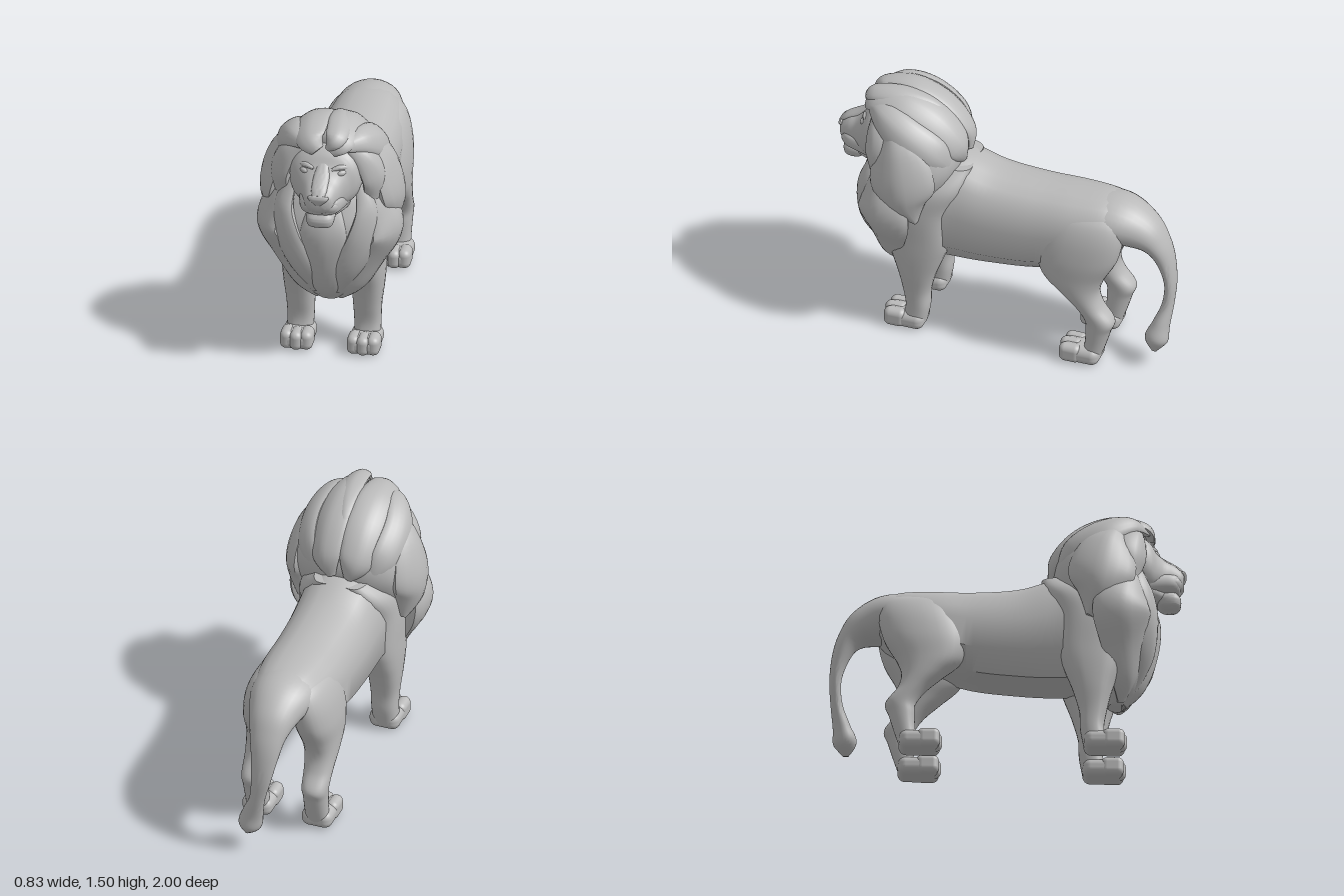
import * as THREE from 'three';
import { toCreasedNormals } from 'three/addons/utils/BufferGeometryUtils.js';
import { RoundedBoxGeometry } from 'three/addons/geometries/RoundedBoxGeometry.js';

const V = (x, y, z) => new THREE.Vector3(x, y, z);
const stone = new THREE.MeshStandardMaterial({ color: 0xbababa });
stone.name = 'stone grey';

// Smoothly resample a short table of section rows.
function resample(rows, steps = 6) {
  const out = [];
  const at = (i) => rows[Math.min(rows.length - 1, Math.max(0, i))];
  for (let i = 0; i < rows.length - 1; i++) {
    for (let s = 0; s < steps; s++) {
      const t = s / steps;
      out.push(rows[i].map((b, k) => {
        const a = at(i - 1)[k], c = at(i + 1)[k], d = at(i + 2)[k];
        return 0.5 * (2 * b + (c - a) * t + (2 * a - 5 * b + 4 * c - d) * t * t
          + (3 * b - a - 3 * c + d) * t * t * t);
      }));
    }
  }
  out.push(rows[rows.length - 1]);
  return out;
}

// Unit superellipse outline.
function outline(n, count = 28) {
  const p = (v) => Math.sign(v) * Math.pow(Math.abs(v), 2 / n);
  return Array.from({ length: count }, (_, i) => {
    const a = (i / count) * Math.PI * 2;
    return [p(Math.cos(a)), p(Math.sin(a))];
  });
}

// Closed skin over a list of rings, turned outward by its signed volume.
function skin(rings, crease = 0.75) {
  const n = rings[0].length, pts = rings.flat(), idx = [];
  for (let r = 0; r < rings.length - 1; r++) {
    for (let i = 0; i < n; i++) {
      const a = r * n + i, b = r * n + (i + 1) % n;
      idx.push(a, b, a + n, b, b + n, a + n);
    }
  }
  const mid = (ring) => ring.reduce((s, p) => s.add(p), V(0, 0, 0)).divideScalar(n);
  const first = pts.length, last = first + 1, end = (rings.length - 1) * n;
  pts.push(mid(rings[0]), mid(rings[rings.length - 1]));
  for (let i = 0; i < n; i++) {
    const j = (i + 1) % n;
    idx.push(first, j, i, last, end + i, end + j);
  }
  let volume = 0;
  for (let i = 0; i < idx.length; i += 3) {
    volume += pts[idx[i]].dot(pts[idx[i + 1]].clone().cross(pts[idx[i + 2]]));
  }
  if (volume < 0) idx.reverse();
  const g = new THREE.BufferGeometry().setFromPoints(pts);
  g.setIndex(idx);
  return toCreasedNormals(g, crease);
}

// Rows: [z, top, bottom, half width]
const loftZ = (rows, shape) => skin(resample(rows).map(([z, t, b, w]) =>
  shape.map(([u, v]) => V(u * w, (t + b) / 2 + v * (t - b) / 2, z))));

// Rows: [y, inner x, outer x, back z, front z]
const loftY = (rows, shape) => skin(resample(rows).map(([y, x0, x1, z0, z1]) =>
  shape.map(([u, v]) => V((x0 + x1) / 2 + u * (x1 - x0) / 2, y, (z0 + z1) / 2 + v * (z1 - z0) / 2))));

// Rows: [x, y, z, half width, half thickness]; thickness lies along the facing direction.
function sweep(rows, shape, facing) {
  const r = resample(rows), c = r.map(([x, y, z]) => V(x, y, z));
  return skin(r.map((row, i) => {
    const t = c[Math.min(i + 1, c.length - 1)].clone().sub(c[Math.max(i - 1, 0)]).normalize();
    const n = facing(c[i]);
    n.addScaledVector(t, -n.dot(t)).normalize();
    const b = t.clone().cross(n);
    return shape.map(([u, v]) => c[i].clone().addScaledVector(b, u * row[3]).addScaledVector(n, v * row[4]));
  }));
}

export function createModel() {
  const model = new THREE.Group();
  model.name = 'lion';
  const add = (name, geometry) => {
    const m = new THREE.Mesh(geometry, stone);
    m.name = name;
    model.add(m);
  };
  // Mirror a geometry to the other side by negating x and flipping the winding.
  const pair = (name, geometry) => {
    add('left' + name, geometry);
    const g = geometry.clone(), p = g.attributes.position, nm = g.attributes.normal;
    for (const a of [p, nm]) for (let i = 0; i < a.count; i++) a.setX(i, -a.getX(i));
    const ids = g.index ? Array.from(g.index.array) : Array.from({ length: p.count }, (_, i) => i);
    g.setIndex(ids.reverse());
    add('right' + name, g);
  };
  const round = outline(2), soft = outline(2.6), lens = outline(1.55, 20);

  // Torso with flat flanks and a bevelled belly
  const half = [[0, 1], [0.3, 0.98], [0.58, 0.88], [0.8, 0.68], [0.94, 0.4], [1, 0.1], [0.98, -0.55], [0.55, -0.97], [0, -1]];
  const barrel = [...half, ...half.slice(1, -1).reverse().map(([x, y]) => [-x, y])];
  add('torso', loftZ([
    [0.62, 1.08, 0.5, 0.2], [0.45, 1.13, 0.48, 0.26], [0.25, 1.11, 0.47, 0.25], [0.05, 1.05, 0.48, 0.245],
    [-0.2, 1.03, 0.51, 0.24], [-0.42, 1.03, 0.58, 0.235], [-0.6, 1.025, 0.66, 0.205], [-0.72, 0.99, 0.76, 0.15]], barrel));

  // Tail growing out of the rump and ending in a tuft
  add('tail', sweep([
    [0, 0.87, -0.46, 0.14, 0.2], [0, 0.885, -0.66, 0.14, 0.185], [0, 0.84, -0.8, 0.11, 0.14], [0, 0.765, -0.885, 0.07, 0.105],
    [0, 0.66, -0.935, 0.05, 0.08], [0.01, 0.52, -0.965, 0.034, 0.058], [0.035, 0.38, -0.958, 0.034, 0.045],
    [0.07, 0.26, -0.93, 0.05, 0.06], [0.095, 0.17, -0.91, 0.066, 0.066], [0.115, 0.1, -0.905, 0.015, 0.015]],
  round, () => V(1, 0, 0)));

  // Legs
  pair('FrontLeg', loftY([
    [0.03, 0.12, 0.265, 0.42, 0.56], [0.14, 0.115, 0.265, 0.4, 0.535], [0.25, 0.11, 0.27, 0.395, 0.55],
    [0.38, 0.1, 0.285, 0.36, 0.58], [0.5, 0.085, 0.293, 0.315, 0.62], [0.62, 0.05, 0.295, 0.28, 0.65],
    [0.82, 0.03, 0.295, 0.275, 0.66], [0.98, 0.02, 0.265, 0.21, 0.6], [1.09, 0.01, 0.16, 0.185, 0.5]], soft));
  pair('HindLeg', loftY([
    [0.03, 0.11, 0.245, -0.61, -0.5], [0.12, 0.11, 0.245, -0.64, -0.52], [0.22, 0.11, 0.25, -0.67, -0.525],
    [0.29, 0.105, 0.255, -0.69, -0.52], [0.38, 0.095, 0.26, -0.625, -0.46], [0.47, 0.08, 0.268, -0.6, -0.36],
    [0.56, 0.06, 0.272, -0.625, -0.26], [0.69, 0.04, 0.272, -0.695, -0.225], [0.83, 0.02, 0.25, -0.725, -0.25],
    [0.93, 0.01, 0.205, -0.71, -0.3], [0.99, 0.01, 0.13, -0.66, -0.38]], outline(2.3)));

  // Paws: a rounded foot with three shallow toes
  for (const [name, x, z] of [['Front', 0.19, 0.53], ['Hind', 0.178, -0.505]]) {
    pair(name + 'Paw', new RoundedBoxGeometry(0.178, 0.106, 0.23, 5, 0.045).translate(x, 0.053, z + 0.005));
    [-1, 0, 1].forEach((k) => pair(name + 'Toe' + (k + 2),
      new RoundedBoxGeometry(0.074, 0.112, 0.13, 5, 0.036).translate(x + k * 0.056, 0.058, z + 0.068 - Math.abs(k) * 0.012)));
  }

  // Mane core
  add('maneCore', loftY([
    [0.36, -0.06, 0.06, 0.56, 0.66], [0.45, -0.16, 0.16, 0.5, 0.73], [0.6, -0.26, 0.26, 0.45, 0.79],
    [0.75, -0.34, 0.34, 0.42, 0.82], [0.88, -0.36, 0.36, 0.36, 0.82], [1.0, -0.35, 0.35, 0.28, 0.77],
    [1.1, -0.34, 0.34, 0.25, 0.71], [1.2, -0.32, 0.32, 0.26, 0.7], [1.3, -0.295, 0.295, 0.32, 0.71],
    [1.39, -0.24, 0.24, 0.41, 0.73], [1.45, -0.15, 0.15, 0.5, 0.72], [1.47, -0.05, 0.05, 0.56, 0.66]], outline(2.3)));

  // Mane locks, each facing away from the middle of the neck
  const away = (p) => V(p.x, Math.max(0, p.y - 1.15), p.z - 0.54);
  const lock = (rows) => sweep(rows, lens, away);
  add('chestBib', lock([[0, 1.03, 0.76, 0.08, 0.03], [0, 0.86, 0.815, 0.13, 0.04], [0, 0.66, 0.79, 0.11, 0.045],
    [0, 0.48, 0.72, 0.09, 0.045], [0, 0.365, 0.63, 0.05, 0.02]]));
  pair('ChestLock', lock([[0.19, 1.14, 0.72, 0.03, 0.02], [0.24, 0.98, 0.735, 0.09, 0.05], [0.21, 0.8, 0.76, 0.11, 0.06],
    [0.13, 0.62, 0.76, 0.09, 0.05], [0.06, 0.44, 0.7, 0.03, 0.02]]));
  pair('LowerLock', lock([[0.25, 1.14, 0.66, 0.05, 0.02], [0.295, 0.98, 0.65, 0.12, 0.06], [0.325, 0.82, 0.63, 0.17, 0.085],
    [0.25, 0.65, 0.64, 0.14, 0.065], [0.15, 0.48, 0.65, 0.1, 0.05], [0.06, 0.37, 0.63, 0.03, 0.02]]));
  pair('SideLock', lock([[0.24, 1.34, 0.6, 0.06, 0.04], [0.28, 1.22, 0.55, 0.15, 0.08], [0.315, 1.05, 0.52, 0.19, 0.095],
    [0.315, 0.92, 0.5, 0.13, 0.085], [0.295, 0.79, 0.45, 0.02, 0.03]]));
  pair('CheekLock', lock([[0.12, 1.385, 0.73, 0.03, 0.02], [0.21, 1.3, 0.7, 0.08, 0.05], [0.265, 1.18, 0.68, 0.1, 0.055],
    [0.25, 1.06, 0.68, 0.07, 0.05], [0.2, 0.96, 0.73, 0.02, 0.02]]));
  pair('TempleLock', lock([[0.1, 1.39, 0.78, 0.03, 0.02], [0.195, 1.395, 0.67, 0.08, 0.045], [0.25, 1.32, 0.52, 0.11, 0.055],
    [0.235, 1.21, 0.37, 0.11, 0.05], [0.16, 1.09, 0.29, 0.04, 0.02]]));
  pair('CrownLock', lock([[0.035, 1.375, 0.8, 0.04, 0.02], [0.085, 1.425, 0.76, 0.085, 0.035], [0.1, 1.445, 0.58, 0.11, 0.04],
    [0.1, 1.36, 0.4, 0.12, 0.05], [0.09, 1.22, 0.275, 0.1, 0.045], [0.05, 1.11, 0.25, 0.03, 0.02]]));
  // A single swept lock on top, slightly off centre
  add('forelock', lock([[0.02, 1.39, 0.81, 0.015, 0.01], [0.065, 1.45, 0.78, 0.06, 0.03], [0.06, 1.475, 0.6, 0.065, 0.025],
    [0.03, 1.41, 0.42, 0.05, 0.03], [0, 1.25, 0.27, 0.02, 0.02]]));

  // Head tapering to the muzzle
  add('head', loftZ([
    [0.6, 1.4, 1.0, 0.2], [0.73, 1.385, 1.01, 0.205], [0.79, 1.35, 1.02, 0.19], [0.835, 1.29, 1.03, 0.15],
    [0.88, 1.25, 1.04, 0.115], [0.93, 1.225, 1.05, 0.095], [0.97, 1.19, 1.07, 0.075], [0.985, 1.17, 1.09, 0.05]], outline(2.4)));
  add('noseBridge', sweep([[0, 1.3, 0.815, 0.03, 0.01], [0, 1.25, 0.87, 0.045, 0.02], [0, 1.205, 0.945, 0.045, 0.02],
    [0, 1.178, 0.982, 0.035, 0.012]], round, () => V(0, 1, 0.5)));
  // Nose: a wedge with a broad top
  add('nose', sweep([[0, 1.18, 0.975, 0.055, 0.015], [0, 1.165, 0.98, 0.058, 0.02], [0, 1.135, 0.974, 0.028, 0.016],
    [0, 1.11, 0.966, 0.006, 0.01]], soft, () => V(0, 0, 1)));
  // Squared muzzle with soft lips, above a tapered chin
  add('muzzle', loftZ([[0.76, 1.15, 1.01, 0.15], [0.86, 1.155, 1.03, 0.13], [0.925, 1.155, 1.04, 0.112],
    [0.955, 1.15, 1.05, 0.085], [0.966, 1.13, 1.07, 0.045]], outline(3)));
  pair('Lip', new THREE.SphereGeometry(1, 24, 16).scale(0.058, 0.046, 0.05).translate(0.05, 1.098, 0.923));
  add('chin', loftY([[0.965, -0.062, 0.062, 0.86, 0.95], [0.98, -0.074, 0.074, 0.84, 0.965],
    [1.02, -0.08, 0.08, 0.82, 0.968], [1.06, -0.06, 0.06, 0.82, 0.94]], outline(3)));
  add('jaw', loftZ([[0.68, 1.1, 0.97, 0.15], [0.8, 1.1, 0.985, 0.125], [0.88, 1.08, 0.985, 0.07]], soft));

  // Eyes beneath soft brows
  pair('Eye', new THREE.SphereGeometry(1, 20, 12).scale(0.029, 0.017, 0.016)
    .rotateZ(0.15).rotateY(0.55).translate(0.106, 1.257, 0.828));
  pair('Brow', sweep([[0.05, 1.275, 0.836, 0.01, 0.01], [0.1, 1.287, 0.815, 0.016, 0.016], [0.15, 1.275, 0.788, 0.008, 0.008]],
    round, () => V(0.3, 0, 1)));
  return model;
}
